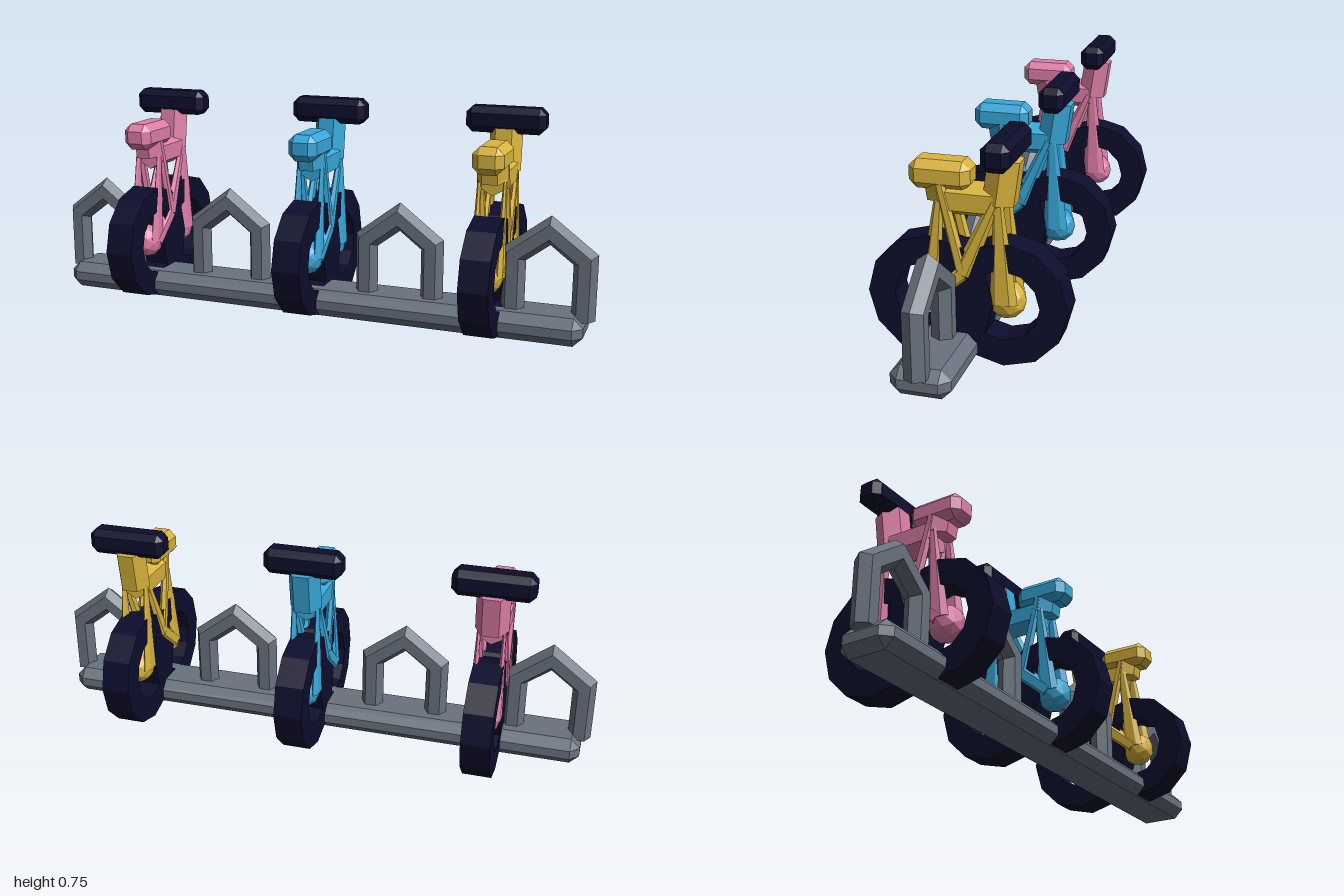
import * as THREE from 'three';
import { ConvexGeometry } from 'three/addons/geometries/ConvexGeometry.js';

const material = (name, color) => {
  const m = new THREE.MeshStandardMaterial({ color, flatShading: true });
  m.name = name;
  return m;
};

function add(parent, name, geometry, mat, x = 0, y = 0, z = 0) {
  const mesh = new THREE.Mesh(geometry, mat);
  mesh.name = name;
  mesh.position.set(x, y, z);
  parent.add(mesh);
  return mesh;
}

// Box with every edge and corner cut; a, b, d are half sizes
function chamferBox(a, b, d, c) {
  const pts = [];
  for (const x of [-1, 1]) for (const y of [-1, 1]) for (const z of [-1, 1]) {
    pts.push(new THREE.Vector3(x * a, y * (b - c), z * (d - c)));
    pts.push(new THREE.Vector3(x * (a - c), y * b, z * (d - c)));
    pts.push(new THREE.Vector3(x * (a - c), y * (b - c), z * d));
  }
  return new ConvexGeometry(pts);
}

// Six-sided bar between two [z, y] points in the side plane
function bar(parent, name, mat, from, to, r0, r1, { x = 0, thick = 1, turn = 0 } = {}) {
  const dz = to[0] - from[0], dy = to[1] - from[1];
  const geo = new THREE.CylinderGeometry(r1, r0, Math.hypot(dz, dy), 6, 1, false, turn);
  geo.scale(thick, 1, 1);
  const mesh = add(parent, name, geo, mat, x, (from[1] + to[1]) / 2, (from[0] + to[0]) / 2);
  mesh.rotation.x = Math.atan2(dz, dy);
  return mesh;
}

// Twelve-sided tyre ring with its axle along x
function wheelGeometry(outer, inner, width) {
  const ring = r => Array.from({ length: 12 }, (_, i) =>
    new THREE.Vector2(r * Math.cos(i * Math.PI / 6), r * Math.sin(i * Math.PI / 6)));
  const shape = new THREE.Shape(ring(outer));
  shape.holes.push(new THREE.Path(ring(inner)));
  const geo = new THREE.ExtrudeGeometry(shape, { depth: width, bevelEnabled: false });
  return geo.translate(0, 0, -width / 2).rotateY(Math.PI / 2);
}

// Pointed hoop: a hexagonal section swept with mitred corners
function archGeometry() {
  const pos = [], index = [];
  for (let i = 0; i < 5; i++) {
    for (let k = 0; k < 6; k++) {
      const o = 0.04 * Math.cos(k * Math.PI / 3), z = 0.04 * Math.sin(k * Math.PI / 3);
      const x = Math.sign(i - 2) * (0.118 + o);
      const y = i === 2 ? 0.37 + 1.26 * o : i === 1 || i === 3 ? 0.28 + 0.495 * o : 0.075;
      pos.push(x, y, z);
      if (i < 4) {
        const n = (k + 1) % 6, a = i * 6 + k, d = i * 6 + n;
        index.push(a, d, d + 6, a, d + 6, a + 6);
      }
    }
  }
  for (let k = 1; k < 5; k++) index.push(0, k + 1, k, 24, 24 + k, 25 + k);
  const geo = new THREE.BufferGeometry();
  geo.setAttribute('position', new THREE.Float32BufferAttribute(pos, 3));
  geo.setIndex(index);
  const flat = geo.toNonIndexed();
  flat.computeVertexNormals();
  return flat;
}

function makeBike(name, paint, dark) {
  const bike = new THREE.Group();
  bike.name = name;
  const axle = 0.118, hubY = 0.206;

  // Wheels and faceted hubs
  for (const [end, z] of [['rear', axle], ['front', -axle]]) {
    add(bike, end + 'Wheel', wheelGeometry(0.205, 0.116, 0.1), dark, 0, 0.205, z);
    add(bike, end + 'Hub', new THREE.IcosahedronGeometry(0.062, 1).scale(0.9, 1, 1), paint, 0, hubY, z);
  }

  // Paired slim tubes on both sides of the wheels
  const seatTop = [0.08, 0.58], headLow = [-0.103, 0.56];
  const crank = [0.013, 0.295], rearHub = [axle, hubY], frontHub = [-axle, hubY];
  for (const x of [-0.043, 0.043]) {
    const tube = (part, a, b, r0, r1) =>
      bar(bike, part, paint, a, b, r0, r1, { x, thick: 0.016 / Math.max(r0, r1) });
    tube('seatStay', rearHub, seatTop, 0.04, 0.01);
    tube('forkBlade', frontHub, headLow, 0.045, 0.013);
    tube('seatTube', crank, seatTop, 0.022, 0.016);
    tube('downTube', crank, headLow, 0.032, 0.015);
    tube('chainStay', rearHub, crank, 0.03, 0.03);
  }

  // Main frame
  bar(bike, 'topTube', paint, [0.075, 0.528], [-0.1, 0.528], 0.0575, 0.0575);
  bar(bike, 'seatPost', paint, [0.082, 0.525], [0.094, 0.6], 0.052, 0.052, { turn: Math.PI / 2 });
  bar(bike, 'headTube', paint, [-0.098, 0.527], [-0.118, 0.668], 0.057, 0.057, { turn: Math.PI / 2 });

  // Saddle and handlebar
  add(bike, 'saddle', chamferBox(0.053, 0.047, 0.098, 0.025), paint, 0, 0.603, 0.085);
  add(bike, 'handlebar', chamferBox(0.138, 0.045, 0.045, 0.022), dark, 0, 0.7, -0.118);
  return bike;
}

export function createModel() {
  const model = new THREE.Group();
  model.name = 'bikeRack';
  const steel = material('steel grey', 0x69727f);
  const dark = material('dark navy', 0x0d0d2d);

  // Rack: long base rail and four hoops
  const rack = new THREE.Group();
  rack.name = 'rack';
  model.add(rack);
  add(rack, 'baseRail', chamferBox(0.97, 0.048, 0.097, 0.032), steel, 0, 0.048, 0.063);
  for (const x of [-0.842, -0.324, 0.324, 0.842]) add(rack, 'hoop', archGeometry(), steel, x, 0, 0.065);

  // Three parked bikes
  const bikes = [
    ['pinkBike', material('pink', 0xdf7fa8), -0.645],
    ['blueBike', material('sky blue', 0x38a8da), 0],
    ['yellowBike', material('golden yellow', 0xd9b43e), 0.645],
  ];
  for (const [name, paint, x] of bikes) {
    const bike = makeBike(name, paint, dark);
    bike.position.x = x;
    model.add(bike);
  }
  return model;
}
